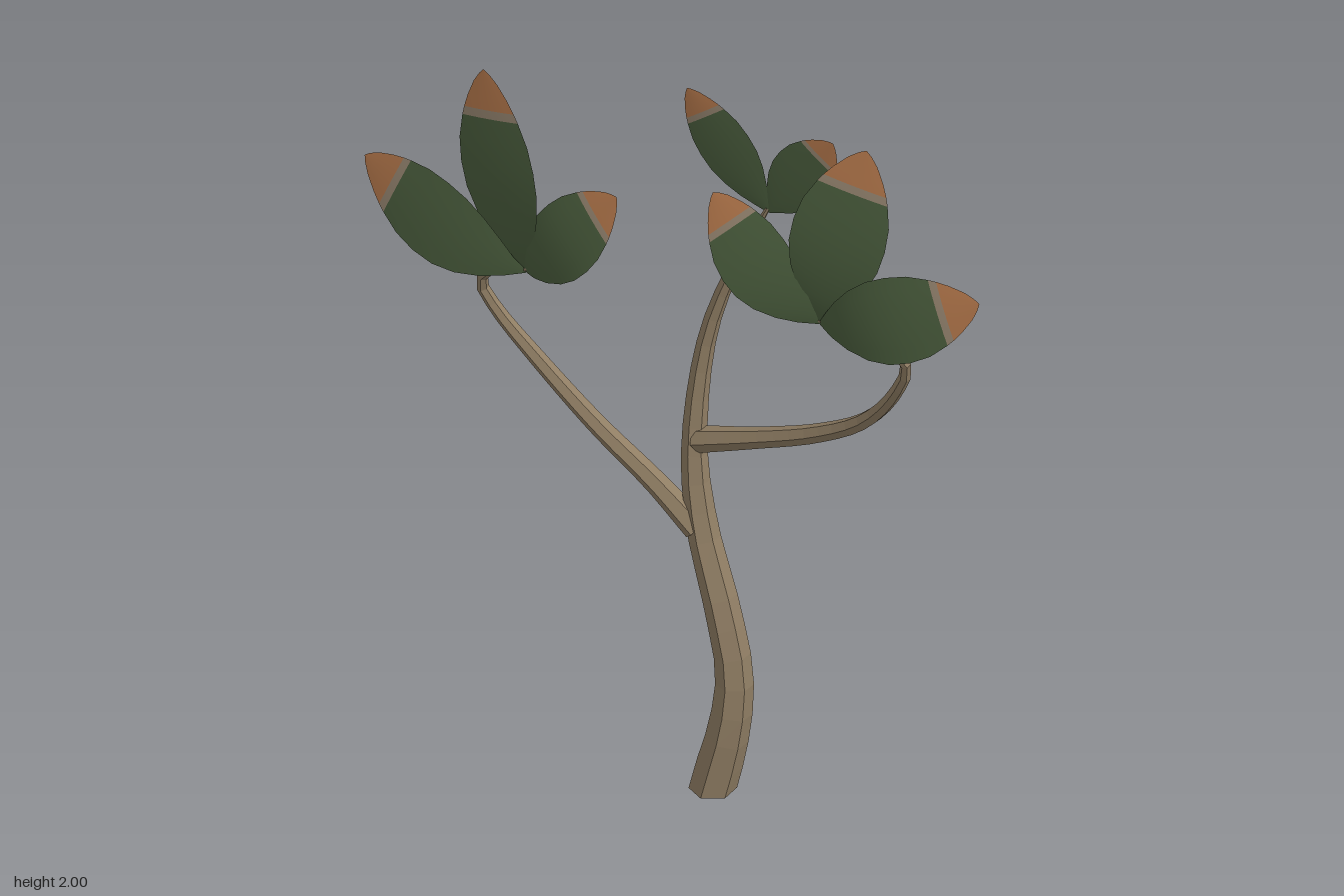
import * as THREE from 'three';

const mat = (name, color, side = THREE.FrontSide) => {
  const m = new THREE.MeshStandardMaterial({ color, side });
  m.name = name;
  return m;
};

// Tapered six-sided limb with crisp facets: points are [x, y, z, radius]
function limb(name, pts, material, grounded) {
  const curve = new THREE.CatmullRomCurve3(pts.map(p => new THREE.Vector3(p[0], p[1], p[2])));
  const radii = new THREE.CatmullRomCurve3(pts.map(p => new THREE.Vector3(p[3], 0, 0)));
  const steps = 22, sides = 6;
  const tube = new THREE.TubeGeometry(curve, steps, 1, sides, false);
  const pos = tube.attributes.position;
  const v = new THREE.Vector3();
  for (let i = 0; i <= steps; i++) {
    const c = curve.getPointAt(i / steps);
    const r = radii.getPoint(curve.getUtoTmapping(i / steps)).x;
    for (let j = 0; j <= sides; j++) {
      const k = i * (sides + 1) + j;
      v.fromBufferAttribute(pos, k).sub(c).multiplyScalar(r).add(c);
      if (grounded && i === 0) v.y = 0;
      pos.setXYZ(k, v.x, v.y, v.z);
    }
  }
  const group = new THREE.Group();
  group.name = name;
  const faceted = tube.toNonIndexed();
  faceted.computeVertexNormals();
  const mesh = new THREE.Mesh(faceted, material);
  mesh.name = name + 'Bark';
  group.add(mesh);
  if (grounded) {
    // Flat cut at the foot
    const ring = [];
    for (let j = 0; j < sides; j++) ring.push(new THREE.Vector2(pos.getX(j), pos.getZ(j)));
    const cap = new THREE.Mesh(new THREE.ShapeGeometry(new THREE.Shape(ring)).rotateX(Math.PI / 2), material);
    cap.name = name + 'Foot';
    group.add(cap);
  }
  return group;
}

// Petal outline: [distance along, share of the full half width]
const OUTLINE = [[0, 0.03], [0.08, 0.27], [0.18, 0.56], [0.3, 0.82], [0.42, 0.97], [0.54, 1], [0.66, 0.94],
  [0.77, 0.77], [0.81, 0.69], [0.87, 0.54], [0.94, 0.32], [0.98, 0.14], [1, 0.01]];
const COLS = 6;

// One skin of a petal; the back skin lies slightly behind and meets the front at the rim
function petalGeometry(base, [tip, halfWidth, bulge, twist], back) {
  const a = new THREE.Vector3(...base), b = new THREE.Vector3(...tip);
  const along = b.clone().sub(a).setZ(0).normalize();
  const positions = [], index = [];
  OUTLINE.forEach(([t, w]) => {
    const c = a.clone().lerp(b, t);
    c.z += bulge * Math.sin(Math.PI * t ** 0.75);
    for (let j = 0; j <= COLS; j++) {
      const s = (j / COLS) * 2 - 1;
      const off = s * w * halfWidth;
      const depth = back ? 0.007 * (1 - s * s) * w : 0;
      positions.push(c.x + along.y * off, c.y - along.x * off, c.z + twist * off - 0.004 * s * s * w - depth);
    }
  });
  const geo = new THREE.BufferGeometry();
  OUTLINE.slice(1).forEach(([t], i) => {
    const start = index.length;
    for (let j = 0; j < COLS; j++) {
      const p = i * (COLS + 1) + j, q = p + COLS + 1;
      if (back) index.push(p, q, p + 1, p + 1, q, q + 1);
      else index.push(p, p + 1, q, p + 1, q + 1, q);
    }
    // Green blade, pale band, orange tip
    if (!back) geo.addGroup(start, COLS * 6, t <= 0.77 ? 0 : t <= 0.81 ? 1 : 2);
  });
  geo.setAttribute('position', new THREE.Float32BufferAttribute(positions, 3));
  geo.setIndex(index);
  geo.computeVertexNormals();
  return geo;
}

export function createModel() {
  const model = new THREE.Group();
  model.name = 'branchWithPetals';
  const wood = mat('bark', 0x907e64, THREE.DoubleSide);
  const green = mat('petalGreen', 0x4a5d3d);
  const band = mat('petalBand', 0x968570);
  const orange = mat('petalTip', 0xb3774b);
  const brown = mat('petalBack', 0xb0784a);

  // Trunk and two side branches
  model.add(limb('trunk', [
    [0.035, 0, -0.062, 0.06], [0.08, 0.2, -0.071, 0.051], [0.085, 0.33, -0.079, 0.046],
    [0.045, 0.5, -0.088, 0.044], [-0.02, 0.7, -0.105, 0.039], [-0.05, 0.9, -0.12, 0.032],
    [-0.028, 1.2, -0.143, 0.023], [0.04, 1.41, -0.152, 0.017], [0.138, 1.61, -0.15, 0.006],
  ], wood, true));
  model.add(limb('rightBranch', [
    [-0.03, 0.69, -0.1, 0.036], [-0.14, 0.795, -0.085, 0.029], [-0.29, 0.925, -0.062, 0.025],
    [-0.44, 1.08, -0.035, 0.021], [-0.54, 1.2, -0.012, 0.017], [-0.573, 1.275, 0.005, 0.015],
    [-0.525, 1.335, 0.03, 0.011], [-0.41, 1.385, 0.06, 0.007],
  ], wood));
  model.add(limb('leftBranch', [
    [-0.04, 0.925, -0.12, 0.034], [0.13, 0.985, -0.108, 0.027], [0.31, 1.06, -0.09, 0.024],
    [0.46, 1.155, -0.06, 0.021], [0.565, 1.28, -0.025, 0.017], [0.612, 1.39, 0.005, 0.014],
    [0.575, 1.44, 0.03, 0.011], [0.5, 1.465, 0.055, 0.008], [0.41, 1.495, 0.08, 0.006],
  ], wood));

  // Petal clusters: [tip, half width, forward bulge, twist]
  const clusters = {
    rightCluster: { base: [-0.415, 1.375, 0.06], petals: [
      [[-0.865, 1.57, 0.06], 0.11, 0.05, -0.1],
      [[-0.54, 1.9, 0.05], 0.117, 0.035, 0.2],
      [[-0.14, 1.685, 0.1], 0.092, 0.045, 0.28]] },
    leftCluster: { base: [0.415, 1.485, 0.08], petals: [
      [[0.86, 1.67, 0.08], 0.11, 0.05, 0.1],
      [[0.54, 2, 0.07], 0.117, 0.035, -0.2],
      [[0.135, 1.785, 0.11], 0.095, 0.05, -0.28]] },
    topCluster: { base: [0.14, 1.6, -0.148], petals: [
      [[-0.07, 1.9, -0.12], 0.08, 0.005, 0],
      [[0.325, 1.85, -0.14], 0.08, 0.005, 0]] },
  };
  for (const [name, { base, petals }] of Object.entries(clusters)) {
    const group = new THREE.Group();
    group.name = name;
    petals.forEach((petal, i) => {
      const front = new THREE.Mesh(petalGeometry(base, petal, false), [green, band, orange]);
      front.name = 'petalFront' + (i + 1);
      const back = new THREE.Mesh(petalGeometry(base, petal, true), brown);
      back.name = 'petalBack' + (i + 1);
      group.add(front, back);
    });
    model.add(group);
  }
  return model;
}
